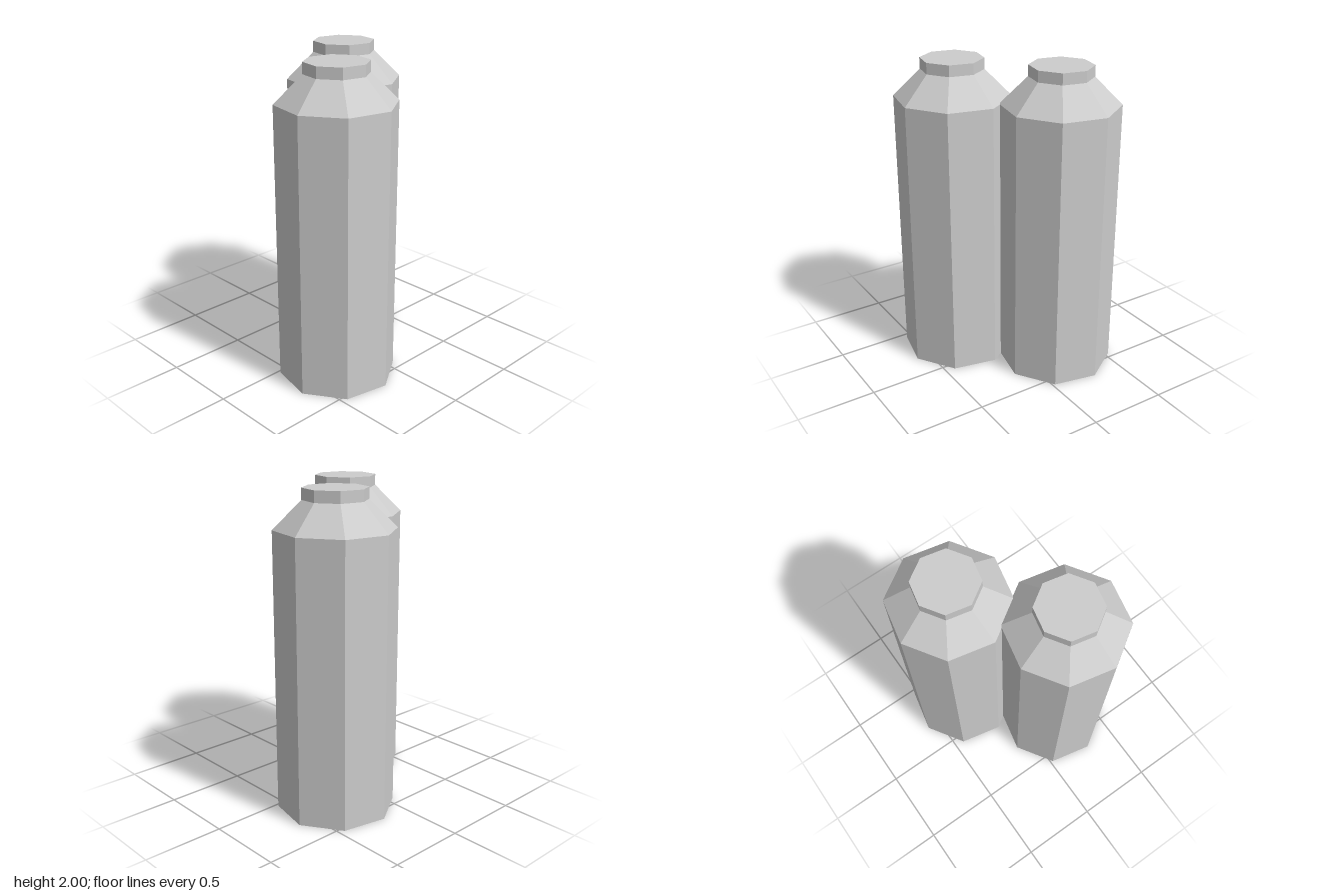
import * as THREE from 'three';

const SIDES = 8;
const TWIST = THREE.MathUtils.degToRad(10.5);
const BODY_RADIUS = 0.37, NECK_RADIUS = 0.198;
const SHOULDER_Y = 1.76, NECK_Y = 1.93, TOP_Y = 2;

export function createModel() {
  const metal = new THREE.MeshStandardMaterial({ color: 0xcccccc, flatShading: true });
  metal.name = 'light grey';

  // Octagonal section between two heights; ends stay open unless capped
  function section(name, rBottom, rTop, y0, y1) {
    const geometry = new THREE.CylinderGeometry(rTop, rBottom, y1 - y0, SIDES, 1, true, TWIST);
    geometry.translate(0, (y0 + y1) / 2, 0);
    const mesh = new THREE.Mesh(geometry, metal);
    mesh.name = name;
    return mesh;
  }

  // Flat octagonal end, facing up or down
  function end(name, radius, y, up) {
    const geometry = new THREE.CircleGeometry(radius, SIDES, up ? TWIST - Math.PI / 2 : Math.PI / 2 - TWIST);
    geometry.rotateX(up ? -Math.PI / 2 : Math.PI / 2);
    geometry.translate(0, y, 0);
    const mesh = new THREE.Mesh(geometry, metal);
    mesh.name = name;
    return mesh;
  }

  // One canister: straight body, sloping shoulder, short cap
  function canister(name, x, z) {
    const group = new THREE.Group();
    group.name = name;
    group.add(
      end('base', BODY_RADIUS, 0, false),
      section('body', BODY_RADIUS, BODY_RADIUS, 0, SHOULDER_Y),
      section('shoulder', BODY_RADIUS, NECK_RADIUS, SHOULDER_Y, NECK_Y),
      section('capSide', NECK_RADIUS, NECK_RADIUS, NECK_Y, TOP_Y),
      end('capTop', NECK_RADIUS, TOP_Y, true)
    );
    group.position.set(x, 0, z);
    return group;
  }

  const model = new THREE.Group();
  model.name = 'canisterPair';
  model.add(canister('backCanister', -0.227, -0.252), canister('frontCanister', 0.227, 0.252));
  return model;
}
